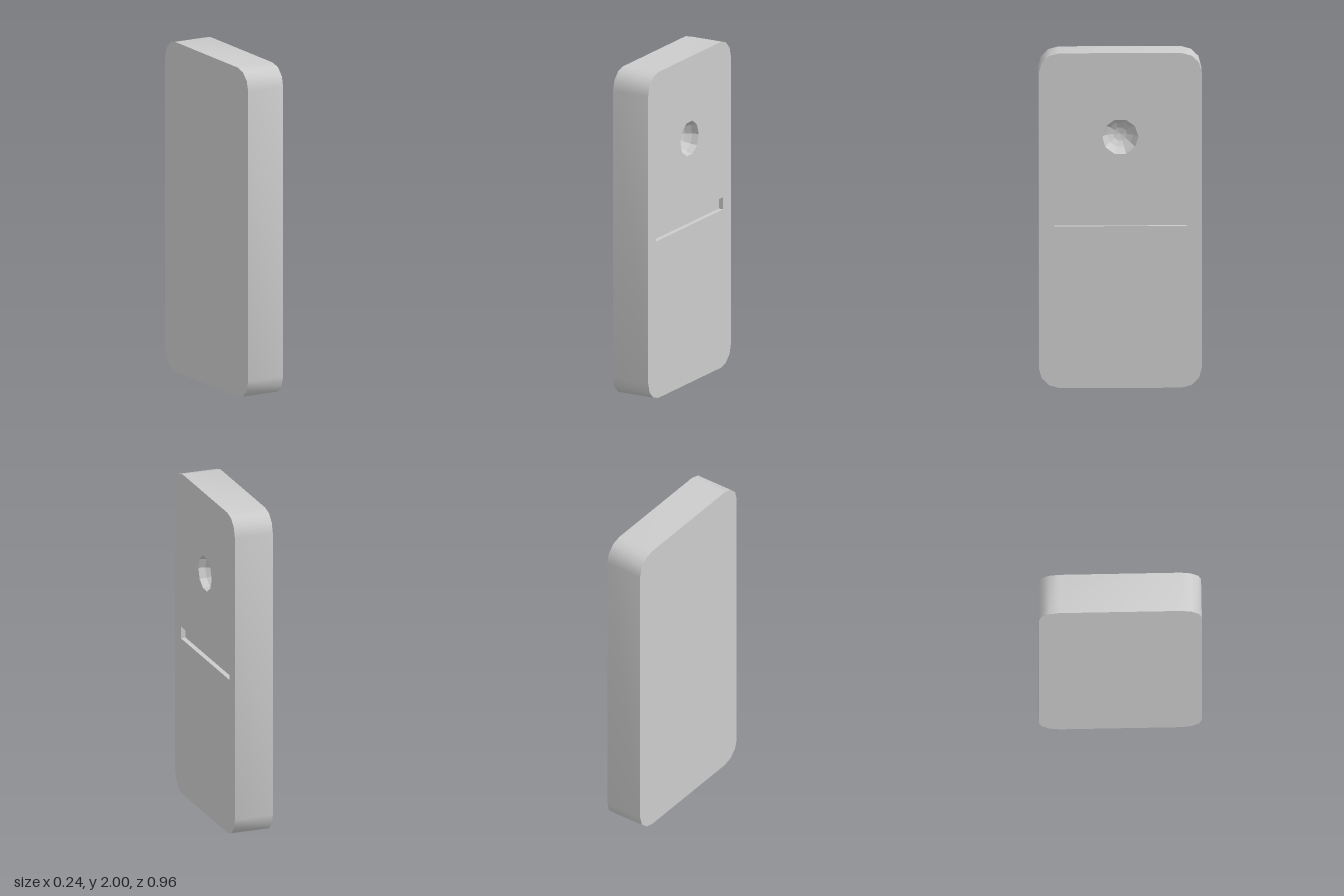
import * as THREE from 'three';
import { toCreasedNormals } from 'three/addons/utils/BufferGeometryUtils.js';

const HALF_T = 0.12, HALF_W = 0.48, HEIGHT = 2, CORNER = 0.12;
const BOWL_R = 0.107, BOWL_Y = 1.5, SLOT_DEPTH = 0.03;
const V = (x, y) => new THREE.Vector2(x, y);

// Rounded rectangle, counter-clockwise, three facets per corner
function outline() {
  const points = [];
  const w = HALF_W - CORNER;
  const centres = [[w, HEIGHT - CORNER], [-w, HEIGHT - CORNER], [-w, CORNER], [w, CORNER]];
  centres.forEach(([cx, cy], q) => {
    for (let i = 0; i <= 3; i++) {
      const a = (q + i / 3) * Math.PI / 2;
      points.push(V(cx + CORNER * Math.cos(a), cy + CORNER * Math.sin(a)));
    }
  });
  return points;
}

// Closed strip of quads along a loop of points, from depth z0 to z1
function wall(points, z0, z1) {
  const pos = [];
  points.forEach((p, i) => {
    const q = points[(i + 1) % points.length];
    pos.push(p.x, p.y, z0, q.x, q.y, z0, q.x, q.y, z1);
    pos.push(p.x, p.y, z0, q.x, q.y, z1, p.x, p.y, z1);
  });
  const geo = new THREE.BufferGeometry();
  geo.setAttribute('position', new THREE.Float32BufferAttribute(pos, 3));
  return toCreasedNormals(geo, 0.6);
}

export function createModel() {
  const group = new THREE.Group();
  group.name = 'slab';
  const material = new THREE.MeshStandardMaterial({ color: 0xcccccc });
  const add = (name, geo, mat = material) => {
    const mesh = new THREE.Mesh(geo, mat);
    mesh.name = name;
    group.add(mesh);
    return mesh;
  };

  const edge = outline();
  const slot = [V(-0.39, 0.966), V(0.39, 0.966), V(0.39, 1.04), V(-0.39, 1.04)];
  const rim = [];
  for (let i = 0; i < 10; i++) {
    const a = i * Math.PI / 5;
    rim.push(V(BOWL_R * Math.cos(a), BOWL_Y + BOWL_R * Math.sin(a)));
  }

  // Slab: pierced face, plain back and rounded rim
  const face = new THREE.Shape(edge);
  face.holes.push(new THREE.Path(rim), new THREE.Path(slot));
  add('carvedFace', new THREE.ShapeGeometry(face)).position.z = HALF_T;
  const back = new THREE.ShapeGeometry(new THREE.Shape(edge)).rotateY(Math.PI);
  add('plainFace', back).position.z = -HALF_T;
  add('slabRim', wall(edge, -HALF_T, HALF_T));

  // Shallow slot: inward walls and floor
  add('slotWalls', wall([...slot].reverse(), HALF_T - SLOT_DEPTH, HALF_T));
  add('slotFloor', new THREE.ShapeGeometry(new THREE.Shape(slot))).position.z = HALF_T - SLOT_DEPTH;

  // Faceted half-sphere dimple
  const profile = [];
  for (let i = 0; i <= 4; i++) {
    const a = i * Math.PI / 8;
    profile.push(V(i === 4 ? 0 : BOWL_R * Math.cos(a), -BOWL_R * Math.sin(a)));
  }
  const bowl = new THREE.LatheGeometry(profile, 10, Math.PI / 2).rotateX(Math.PI / 2);
  const bowlMaterial = new THREE.MeshStandardMaterial({
    color: 0xcccccc, flatShading: true, side: THREE.DoubleSide,
  });
  add('dimple', bowl, bowlMaterial).position.set(0, BOWL_Y, HALF_T);

  // Turn the carved face towards +x
  group.rotation.y = Math.PI / 2;
  return group;
}
